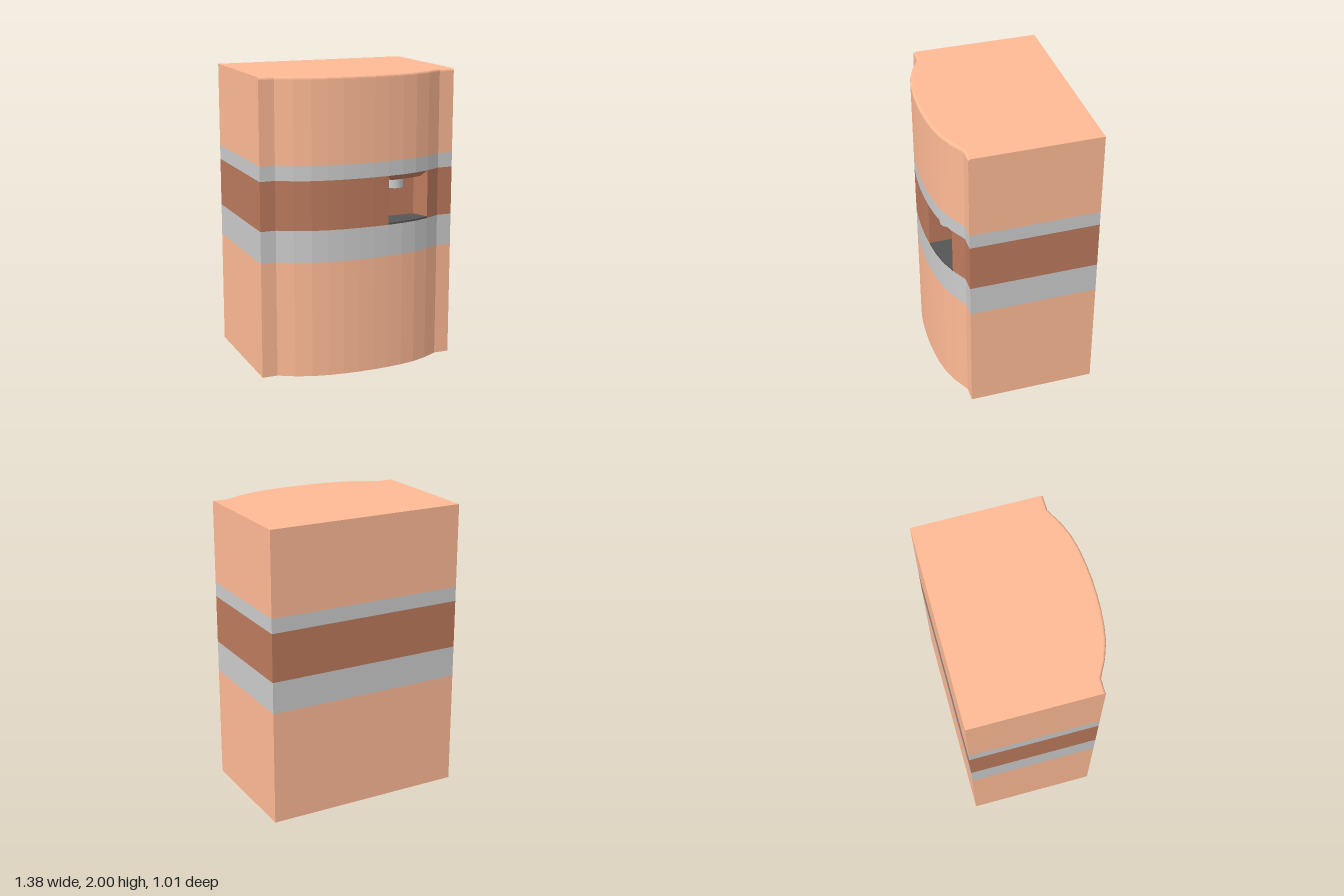
import * as THREE from 'three';

const paint = (color) => new THREE.MeshStandardMaterial({ color, flatShading: true });
const ORANGE = paint(0xffba95), BROWN = paint(0xbc7a5d), GREY = paint(0xcccccc), DARK = paint(0x555555);

// Half of the bowed front, from the middle outwards: [x, z]
const BOW = [[0.053, 0.505], [0.16, 0.499], [0.266, 0.487], [0.372, 0.465], [0.479, 0.425], [0.585, 0.367]];
const SIDE = 0.69, BACK = -0.505, SHOULDER = 0.367;
const NICHE_BACK = 0.31;

// Floor plan of the cabinet; the niche cuts three facets out of the front
function plan(withNiche) {
  const right = BOW.map(([x, z]) => [-x, z]).reverse();
  const left = withNiche
    ? [BOW[0], BOW[1], [0.16, NICHE_BACK], [0.43, NICHE_BACK], BOW[4], BOW[5]]
    : BOW;
  return [[-SIDE, BACK], [-SIDE, SHOULDER], ...right, ...left, [SIDE, SHOULDER], [SIDE, BACK]];
}
const nichePlan = [[0.16, NICHE_BACK], ...BOW.slice(1, 5), [0.43, NICHE_BACK]];

// Raises a floor plan of [x, z] points from y0 to y1
function raise(points, y0, y1, steps = 1) {
  const shape = new THREE.Shape(points.map(([x, z]) => new THREE.Vector2(x, -z)));
  const geo = new THREE.ExtrudeGeometry(shape, { depth: y1 - y0, steps, bevelEnabled: false });
  return geo.rotateX(-Math.PI / 2).translate(0, y0, 0);
}

// Moves every vertex by a rule
function reshape(geo, rule) {
  const pos = geo.attributes.position, v = new THREE.Vector3();
  for (let i = 0; i < pos.count; i++) {
    rule(v.fromBufferAttribute(pos, i));
    pos.setXYZ(i, v.x, v.y, v.z);
  }
  geo.computeVertexNormals();
  return geo;
}

export function createModel() {
  const model = new THREE.Group();
  model.name = 'dispenserCabinet';
  const add = (name, geo, material) => {
    const mesh = new THREE.Mesh(geo, material);
    mesh.name = name;
    model.add(mesh);
    return mesh;
  };

  // Stacked body sections
  add('lowerBody', raise(plan(false), 0, 0.785), ORANGE);
  add('lowerBand', raise(plan(false), 0.785, 1), GREY);
  add('nicheBand', raise(plan(true), 1, 1.33), BROWN);
  add('upperBand', raise(plan(false), 1.33, 1.43), GREY);

  // Upper body, its top front edge rounded over
  const y0 = 1.43, top = 2, r = 0.018, steps = 5;
  const upper = reshape(raise(plan(false), y0, top, steps), (v) => {
    const level = Math.round(((v.y - y0) / (top - y0)) * steps);
    if (level === 0) return;
    const a = ((level - 1) / (steps - 1)) * Math.PI / 2;
    v.y = top - r + r * Math.sin(a);
    if (v.z > 0) v.z -= r * (1 - Math.cos(a));
  });
  add('upperBody', upper, ORANGE);

  // Drip tray on the niche floor
  add('dripTray', raise(nichePlan, 1, 1.012), DARK);

  // Tapered hood under the niche ceiling
  const hood = reshape(raise(nichePlan, 1.29, 1.33), (v) => {
    if (v.y > 1.31) return;
    v.x = 0.31 + (v.x - 0.31) * 0.76;
    v.z = NICHE_BACK + (v.z - NICHE_BACK) * 0.75;
  });
  add('nicheHood', hood, BROWN);

  // Spout
  const spoutMaterial = new THREE.MeshStandardMaterial({ color: 0xcccccc });
  const spout = add('spout', new THREE.CylinderGeometry(0.058, 0.058, 0.07, 24), spoutMaterial);
  spout.position.set(0.25, 1.265, 0.387);

  return model;
}
